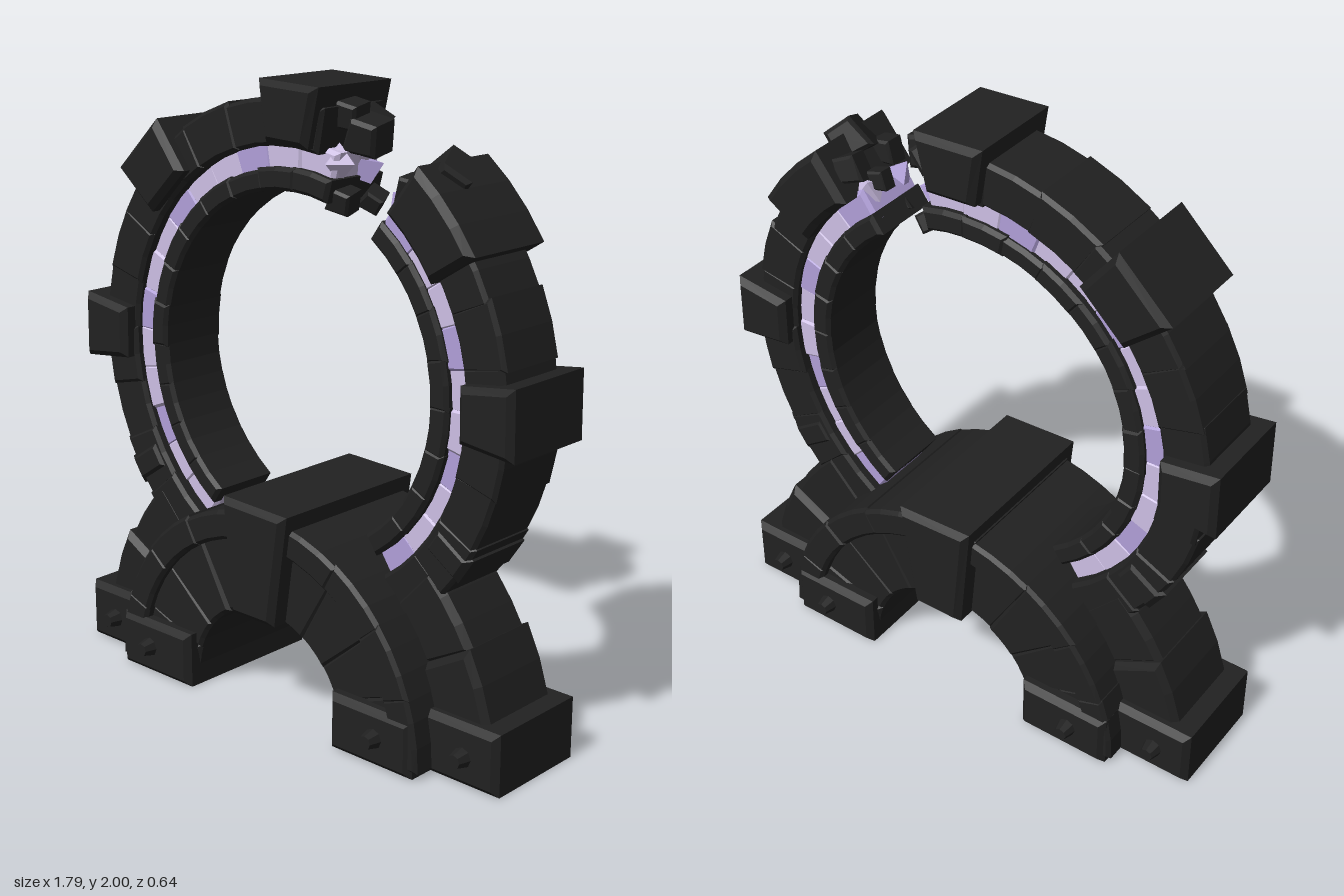
import * as THREE from 'three';

const RAD = Math.PI / 180;
const RING_Y = 1.11, ARCH_Y = 0.03;

export function createModel() {
  const root = new THREE.Group();
  root.name = 'brokenRingPortal';
  const mat = (name, color) => {
    const m = new THREE.MeshStandardMaterial({ color, flatShading: true });
    m.name = name;
    return m;
  };
  const stone = mat('dark stone', 0x212121);
  const glow = mat('pale violet', 0xcdbfe4);
  const deepGlow = mat('violet', 0xb09fd8);

  let seed = 7;
  const rnd = (a) => {
    seed = (seed * 16807) % 2147483647;
    return (seed / 2147483647 - 0.5) * 2 * a;
  };

  const add = (parent, name, geo, m = stone) => {
    const mesh = new THREE.Mesh(geo, m);
    mesh.name = name;
    parent.add(mesh);
    return mesh;
  };
  const group = (name, y = 0) => {
    const g = new THREE.Group();
    g.name = name;
    g.position.y = y;
    root.add(g);
    return g;
  };

  // Chamfered slab of half-depth z, centred on z = 0
  const slab = (points, z, b = 0.015) => {
    const geo = new THREE.ExtrudeGeometry(
      new THREE.Shape(points.map(([x, y]) => new THREE.Vector2(x, y))),
      { depth: 2 * (z - b), bevelThickness: b, bevelSize: b, bevelOffset: -b, bevelSegments: 1, steps: 1 });
    return geo.translate(0, 0, b - z);
  };
  // Curved stone between two radii and two angles in degrees
  const wedge = (r0, r1, a0, a1, z, b = 0.012) => {
    const n = Math.max(1, Math.round((a1 - a0) / 7));
    const pts = [];
    for (let i = 0; i <= n; i++) {
      const a = (a0 + (a1 - a0) * i / n) * RAD;
      pts.push([r1 * Math.cos(a), r1 * Math.sin(a)]);
    }
    for (let i = n; i >= 0; i--) {
      const a = (a0 + (a1 - a0) * i / n) * RAD;
      pts.push([r0 * Math.cos(a), r0 * Math.sin(a)]);
    }
    return slab(pts, z, b);
  };
  // Tapered block pointing outwards at an angle
  const block = (angle, r0, r1, w0, w1, z) =>
    slab([[r0, -w0], [r1, -w1], [r1, w1], [r0, w0]], z, 0.02).rotateZ(angle * RAD);
  // Run of stones with slightly uneven sizes
  const course = (parent, name, r0, r1, a0, a1, count, z, jitter, m = [stone]) => {
    const step = (a1 - a0) / count;
    for (let i = 0; i < count; i++) {
      add(parent, name,
        wedge(r0, r1 + rnd(jitter), a0 + i * step - 0.7, a0 + (i + 1) * step + 0.7, z + rnd(jitter)),
        m[i % m.length]);
    }
  };

  // Broken ring: outer stones, glowing channel, inner rim
  const ring = group('ring', RING_Y);
  course(ring, 'outerRingStone', 0.69, 0.838, 80, 235, 11, 0.132, 0.008);
  course(ring, 'outerRingStone', 0.69, 0.838, -55, 50, 8, 0.132, 0.008);
  course(ring, 'innerRimStone', 0.555, 0.625, 75, 235, 12, 0.125, 0.004);
  course(ring, 'innerRimStone', 0.555, 0.625, -55, 54, 8, 0.125, 0.004);
  course(ring, 'glowChannel', 0.6, 0.71, 76, 235, 14, 0.1, 0.008, [glow, glow, deepGlow]);
  course(ring, 'glowChannel', 0.6, 0.71, -55, 54, 10, 0.1, 0.008, [deepGlow, glow, glow]);

  // Protruding blocks around the ring
  add(ring, 'topBlock', block(87.5, 0.7, 0.885, 0.085, 0.12, 0.18));
  add(ring, 'upperBlock', block(134, 0.7, 0.895, 0.105, 0.125, 0.182));
  add(ring, 'sideBlock', block(0.7, 0.7, 0.893, 0.085, 0.108, 0.18));
  add(ring, 'sideBlock', block(179.3, 0.7, 0.896, 0.085, 0.11, 0.18));
  add(ring, 'brokenUpperBlock', wedge(0.69, 0.872, 32, 52.5, 0.178, 0.02));
  for (const a of [-34, 214]) add(ring, 'lowerBlock', block(a, 0.7, 0.85, 0.05, 0.05, 0.142));

  // Rubble and glowing shards at the break: x, y, z, size, spin
  const chips = [
    [0.16, 1.9, 0.02, 0.045, 0.3], [0.215, 1.84, 0, 0.058, 0.3], [0.17, 1.86, -0.06, 0.05, 0.9],
    [0.16, 1.65, 0.05, 0.04, 0.4], [0.18, 1.64, -0.06, 0.035, 0.8],
    [0.54, 1.76, 0.02, 0.06, 0.9], [0.46, 1.73, -0.08, 0.045, 0.5], [0.46, 1.72, 0.09, 0.04, 0.2],
    [0.385, 1.7, -0.04, 0.032, 0.3], [0.38, 1.58, 0.05, 0.035, 0.7],
  ];
  for (const [x, y, z, s, spin] of chips) {
    const chip = add(root, 'rubbleChip', slab([[-s, -s], [s, -0.7 * s], [0.8 * s, s], [-0.8 * s, 0.9 * s]], s, 0.2 * s));
    chip.position.set(x, y, z);
    chip.rotation.set(spin * 0.5, spin * 0.4, -spin);
  }
  const shards = [[0.15, 1.76, 0.06, 0.06], [0.17, 1.73, -0.04, 0.055], [0.14, 1.78, -0.02, 0.06],
    [0.4, 1.66, 0.06, 0.055], [0.41, 1.67, -0.06, 0.055]];
  shards.forEach(([x, y, z, s], i) => {
    const shard = add(root, 'glowShard', new THREE.OctahedronGeometry(s), i % 2 ? deepGlow : glow);
    shard.position.set(x, y, z);
    shard.rotation.set(i, i * 0.7, i * 1.3);
  });

  // Base arch with a raised rim and a keystone
  const arch = group('baseArch', ARCH_Y);
  course(arch, 'archStone', 0.315, 0.6, 0, 180, 9, 0.24, 0.004);
  course(arch, 'archRim', 0.55, 0.648, 0, 180, 9, 0.27, 0.005);
  add(root, 'archKeystone', slab([[-0.085, 0.34], [0.095, 0.34], [0.15, 0.71], [-0.12, 0.72]], 0.312, 0.02));

  // Buttresses, feet and bolts, mirrored left and right
  for (const side of [1, -1]) {
    const base = group(side > 0 ? 'leftBase' : 'rightBase');
    const ang = (a0, a1) => side > 0 ? [a0, a1] : [180 - a1, 180 - a0];
    add(base, 'buttressStone', wedge(0.55, 0.848, ...ang(6, 29), 0.16, 0.02));
    add(base, 'buttressStone', wedge(0.55, 0.842, ...ang(28, 47), 0.138, 0.02));
    const foot = (name, x, w, h, z) => add(base, name,
      slab([[-w, 0], [w, 0], [w, h], [-w, h]], z, 0.02)).position.x = side * x;
    foot('innerFoot', 0.472, 0.16, 0.185, 0.283);
    foot('outerFoot', 0.74, 0.15, 0.2, 0.197);
    for (const [x, z] of [[0.495, 0.295], [0.765, 0.21]]) {
      for (const f of [1, -1]) {
        const bolt = add(base, 'bolt', new THREE.CylinderGeometry(0.022, 0.036, 0.055, 8));
        bolt.rotation.x = f * Math.PI / 2;
        bolt.position.set(side * x, 0.095, f * z);
      }
    }
  }
  return root;
}
